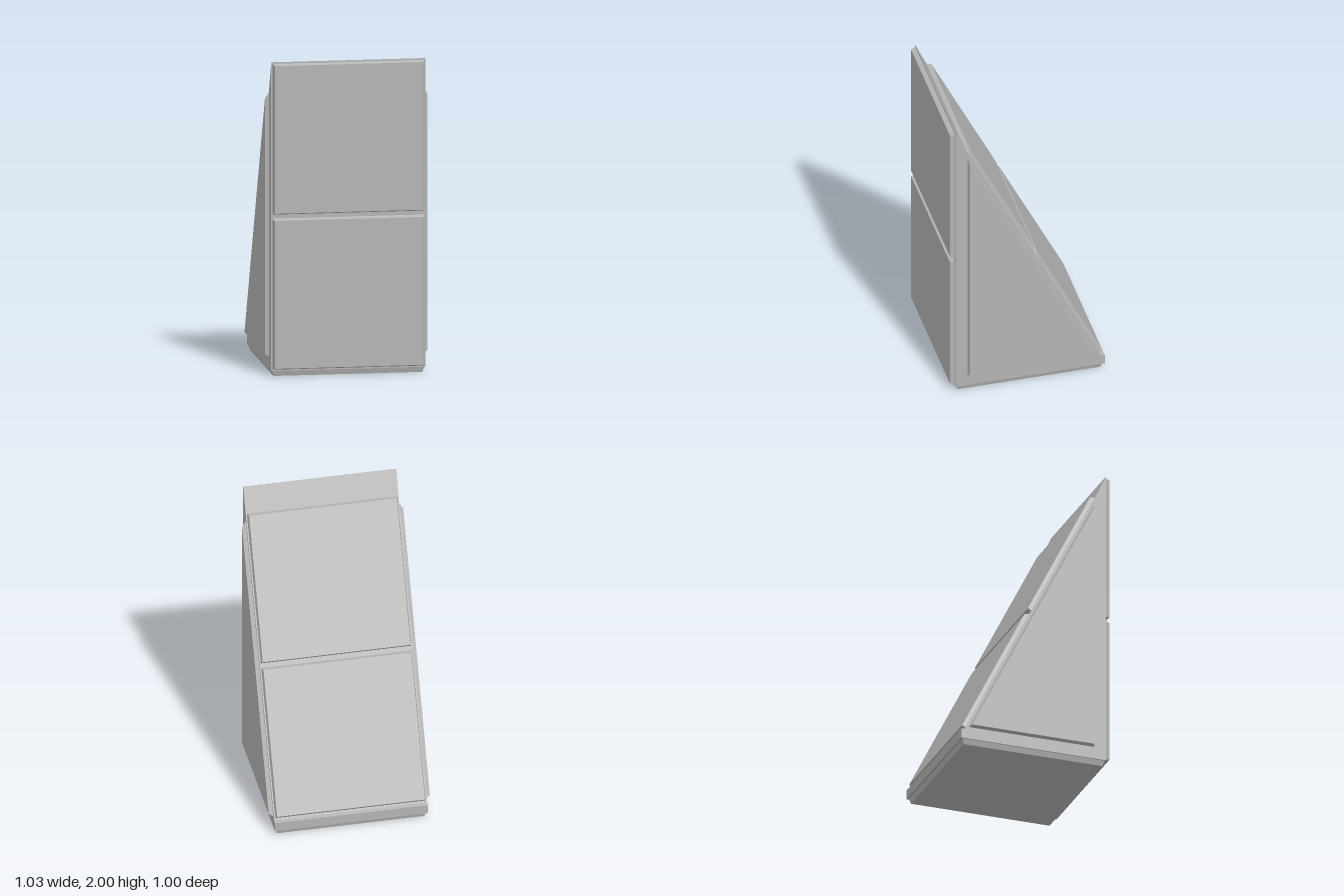
import * as THREE from 'three';

// Moves every edge of a counter-clockwise convex outline inwards by d
function insetOutline(pts, d) {
  const n = pts.length;
  const edge = (i) => {
    const a = pts[i % n], b = pts[(i + 1) % n];
    const l = Math.hypot(b[0] - a[0], b[1] - a[1]);
    return [(b[0] - a[0]) / l, (b[1] - a[1]) / l];
  };
  return pts.map((p, i) => {
    const e = edge(i + n - 1), f = edge(i);
    const k = d / (1 + e[0] * f[0] + e[1] * f[1]);
    return [p[0] - (e[1] + f[1]) * k, p[1] + (e[0] + f[0]) * k];
  });
}

// Plate with slanted edges: full outline at z = 0, inset outline at z = thickness
function plateGeometry(pts, inset, thickness) {
  const top = insetOutline(pts, inset);
  const v = [], n = pts.length;
  const lo = (i) => [...pts[i % n], 0], hi = (i) => [...top[i % n], thickness];
  for (let i = 0; i < n; i++) {
    v.push(...lo(i), ...lo(i + 1), ...hi(i + 1), ...lo(i), ...hi(i + 1), ...hi(i));
    if (i > 0 && i < n - 1) {
      v.push(...hi(0), ...hi(i), ...hi(i + 1), ...lo(0), ...lo(i + 1), ...lo(i));
    }
  }
  const g = new THREE.BufferGeometry();
  g.setAttribute('position', new THREE.Float32BufferAttribute(v, 3));
  g.computeVertexNormals();
  return g;
}

const rect = (w, y0, y1) => [[-w, y0], [w, y0], [w, y1], [-w, y1]];

export function createModel() {
  const model = new THREE.Group();
  model.name = 'wedgeBlock';
  const grey = new THREE.MeshStandardMaterial({ color: 0xb4b4b4 });
  grey.name = 'plain grey';

  const add = (name, geometry) => {
    const mesh = new THREE.Mesh(geometry, grey);
    mesh.name = name;
    model.add(mesh);
    return mesh;
  };

  // Wedge core, its side profile drawn as (-z, y) and extruded along x
  const profile = [[-0.47, 0.035], [0.5, 0.035], [0.5, 0.095], [0.475, 0.1], [-0.395, 1.84], [-0.47, 2]];
  const core = new THREE.ExtrudeGeometry(
    new THREE.Shape(profile.map(([a, b]) => new THREE.Vector2(a, b))),
    { depth: 0.98, bevelEnabled: false });
  core.translate(0, 0, -0.49);
  core.rotateY(Math.PI / 2);
  add('wedgeCore', core);

  // Two upright front panels
  [[0.043, 1.005], [1.03, 1.99]].forEach(([y0, y1], i) => {
    add(i ? 'upperFrontPanel' : 'lowerFrontPanel', plateGeometry(rect(0.482, y0, y1), 0.01, 0.03))
      .position.z = 0.47;
  });

  // Two panels on the sloping back; heights are turned into lengths along the slope
  const s = Math.sqrt(5);
  const slope = new THREE.Matrix4().makeBasis(
    new THREE.Vector3(-1, 0, 0),
    new THREE.Vector3(0, 2 / s, 1 / s),
    new THREE.Vector3(0, 1 / s, -2 / s)).setPosition(0, 1, -0.025);
  [[0.112, 0.965], [0.992, 1.842]].forEach(([y0, y1], i) => {
    const g = plateGeometry(rect(0.482, (y0 - 1) * s / 2, (y1 - 1) * s / 2), 0.009, 0.025);
    add(i ? 'upperBackPanel' : 'lowerBackPanel', g.applyMatrix4(slope));
  });

  // Triangular side panels, drawn in the side plane of each side
  const right = [[-0.45, 0.115], [0.39, 0.115], [0.39, 1.795]];
  const left = right.map(([z, y]) => [-z, y]).reverse();
  const rightPanel = add('rightSidePanel', plateGeometry(right, 0.009, 0.026));
  rightPanel.rotation.y = -Math.PI / 2;
  rightPanel.position.x = -0.49;
  const leftPanel = add('leftSidePanel', plateGeometry(left, 0.009, 0.026));
  leftPanel.rotation.y = Math.PI / 2;
  leftPanel.position.x = 0.49;

  // Base plate facing down
  const base = add('basePlate', plateGeometry(rect(0.482, -0.486, 0.462), 0.01, 0.035));
  base.rotation.x = Math.PI / 2;
  base.position.y = 0.035;

  return model;
}
